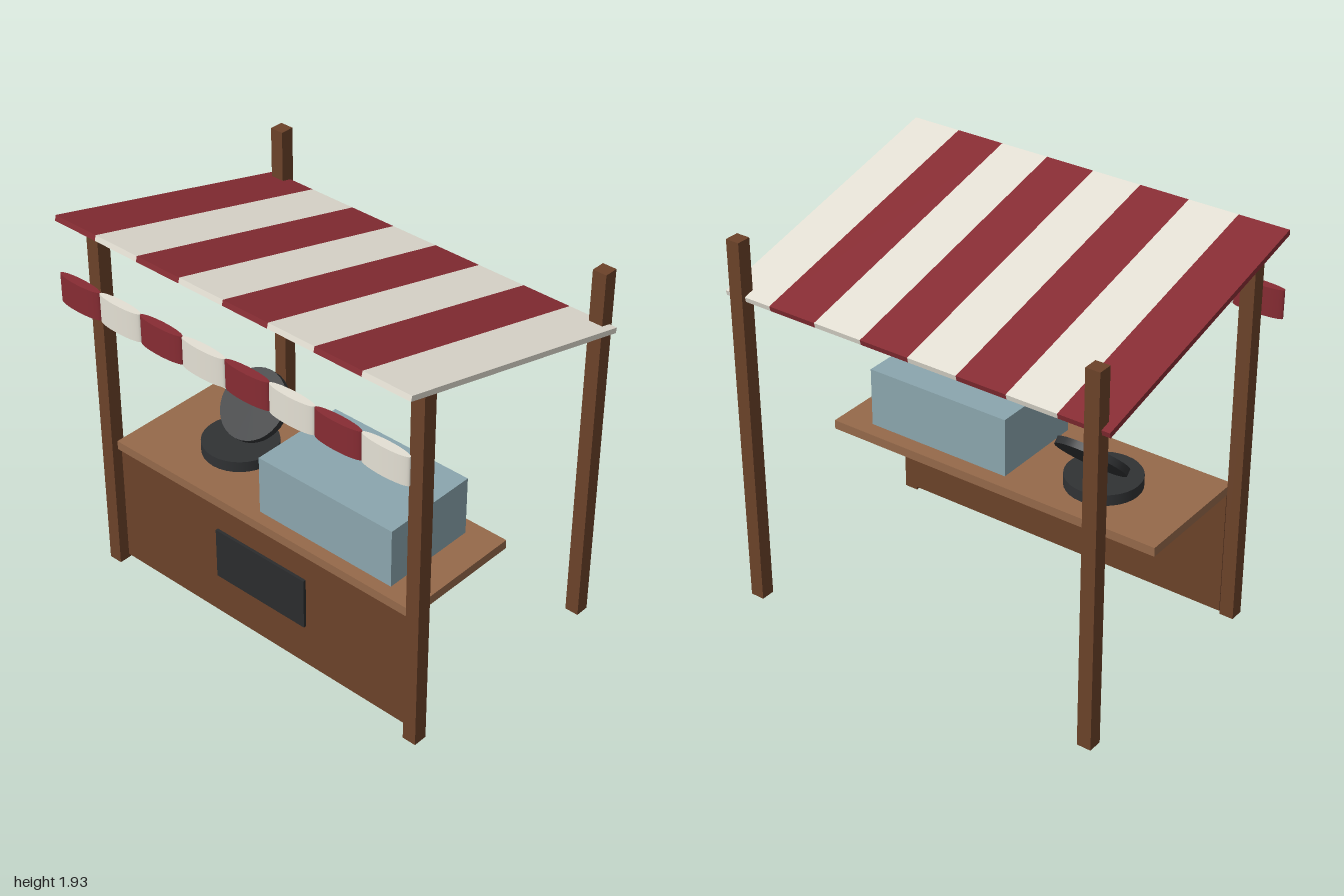
import * as THREE from 'three';

const paint = (color) => new THREE.MeshStandardMaterial({ color });

export function createModel() {
  const stall = new THREE.Group();
  stall.name = 'marketStall';

  const wood = paint(0x6b4229);
  const lightWood = paint(0x95694a);
  const red = paint(0x872c33);
  const cream = paint(0xe4e0d4);
  const iron = paint(0x303234);
  const slate = paint(0x2b2c2d);
  const blue = paint(0x8ba6ae);

  const add = (name, geometry, material, x, y, z, parent = stall) => {
    const mesh = new THREE.Mesh(geometry, material);
    mesh.name = name;
    mesh.position.set(x, y, z);
    parent.add(mesh);
    return mesh;
  };
  const box = (w, h, d) => new THREE.BoxGeometry(w, h, d);

  // Four corner posts
  for (const [row, z] of [['front', 0.505], ['back', -0.655]]) {
    for (const [side, x] of [['Left', 0.925], ['Right', -0.925]]) {
      add(`${row}${side}Post`, box(0.07, 1.85, 0.07), wood, x, 0.925, z);
    }
  }

  // Counter with its front panel and sign board
  add('frontPanel', box(1.78, 0.64, 0.02), wood, 0, 0.34, 0.475);
  add('counterTop', box(1.78, 0.045, 0.635), lightWood, 0, 0.678, 0.19);
  add('signBoard', box(0.54, 0.265, 0.015), slate, 0, 0.373, 0.492);

  // Display case
  add('displayCase', box(0.765, 0.295, 0.495), blue, 0.343, 0.848, 0.198);

  // Round griddle with its lid tipped open
  add('griddleBase', new THREE.CylinderGeometry(0.182, 0.182, 0.055, 32), iron, -0.43, 0.728, 0.165);
  const lid = add('griddleLid', new THREE.CylinderGeometry(0.176, 0.176, 0.035, 32), iron, -0.43, 0.893, 0.067);
  lid.rotation.x = Math.PI / 4;

  // Striped sloping roof, high at the front
  const roof = new THREE.Group();
  roof.name = 'roof';
  roof.position.set(0, 1.743, 0);
  roof.rotation.x = -0.25;
  stall.add(roof);

  // Hanging valance of rounded segments, matching the roof stripes
  const valance = new THREE.Group();
  valance.name = 'valance';
  valance.position.set(0, 1.57, 0.666);
  stall.add(valance);
  const scallop = new THREE.CylinderGeometry(0.125, 0.125, 0.14, 32).scale(1, 1, 0.19);

  for (let i = 0; i < 8; i++) {
    const x = -0.875 + i * 0.25;
    const material = i % 2 ? cream : red;
    add('roofStripe', box(0.25, 0.026, 1.382), material, x, 0, 0, roof);
    add('valanceSegment', scallop, material, x, 0, 0, valance);
  }

  return stall;
}
